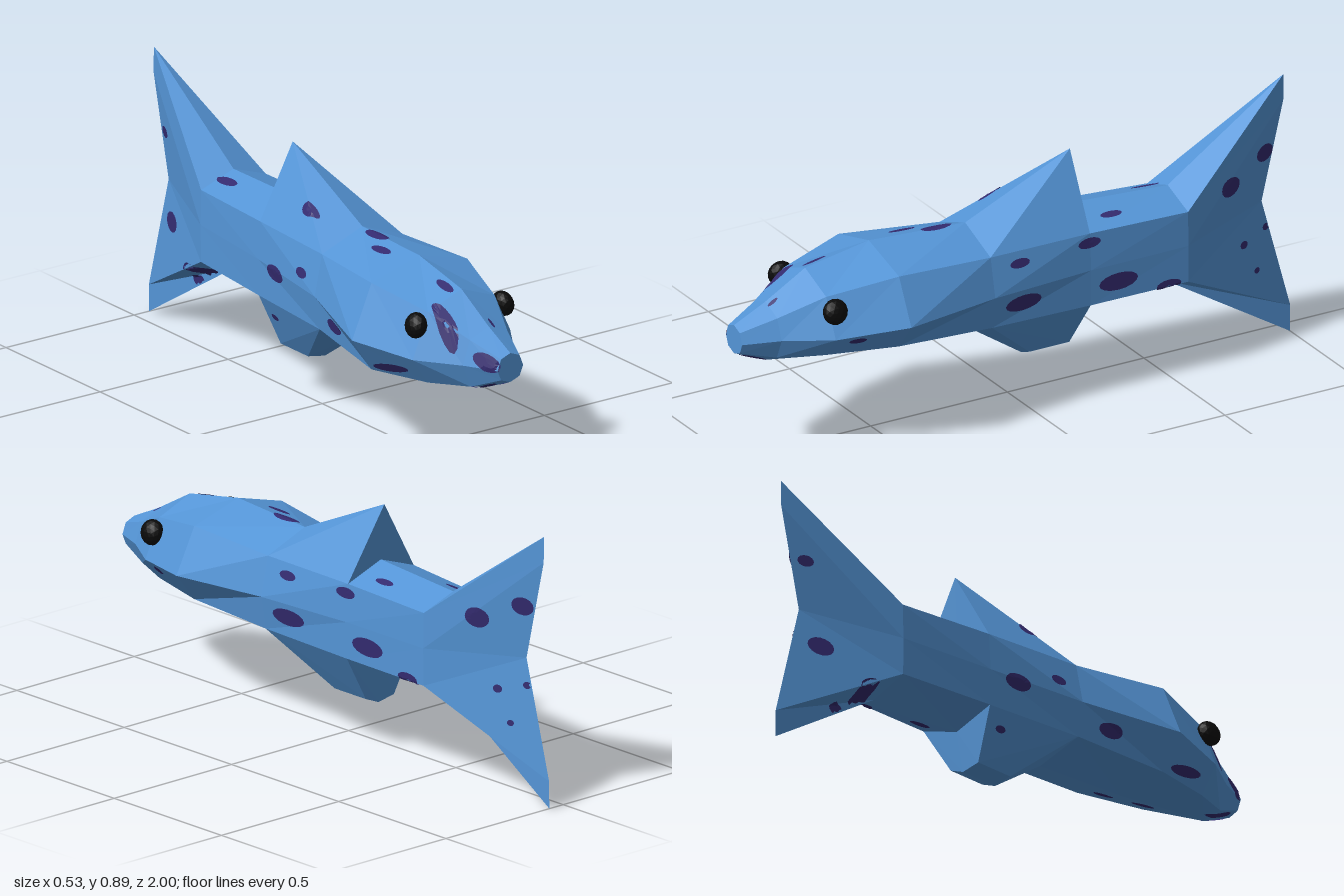
import * as THREE from 'three';
import { ConvexGeometry } from 'three/addons/geometries/ConvexGeometry.js';

const vec = (x, y, z) => new THREE.Vector3(x, y, z);

// Eight points clockwise seen from the front, spaced about the spine at x = cx.
// upper, side and lower are [half width, y]; drop lowers the right-hand side.
function ring(z, cx, topY, upper, side, lower, bottomY, drop = 0) {
  const at = ([w, y], s, dy = 0) => vec(cx + s * w, y - dy, z);
  return [
    vec(cx, topY, z), at(upper, 1), at(side, 1), at(lower, 1),
    vec(cx, bottomY, z), at(lower, -1, drop), at(side, -1, drop * 0.6), at(upper, -1),
  ];
}

// Body rings from mouth to tail root
const mouth = ring(1, 0, 0.467, [0.036, 0.453], [0.05, 0.417], [0.036, 0.383], 0.37);
const snout = ring(0.885, 0, 0.522, [0.073, 0.492], [0.1, 0.424], [0.07, 0.355], 0.32, 0.02);
const head = ring(0.74, 0, 0.605, [0.13, 0.555], [0.19, 0.428], [0.13, 0.354], 0.307, 0.035);
const chest = ring(0.51, 0.005, 0.648, [0.187, 0.596], [0.263, 0.448], [0.187, 0.354], 0.284, 0.048);
const middle = ring(0.172, 0.03, 0.64, [0.157, 0.58], [0.186, 0.45], [0.166, 0.34], 0.281, 0.01);
const waist = ring(-0.195, 0.041, 0.625, [0.14, 0.575], [0.148, 0.45], [0.145, 0.328], 0.28);
const root = ring(-0.552, 0.059, 0.611, [0.126, 0.567], [0.128, 0.45], [0.127, 0.326], 0.277);

// The back fin is the waist ring with its top point pulled up
const crest = [vec(0.037, 0.81, -0.207), ...waist.slice(1)];

// Tail edge: thin, forked, slightly slanted
const tail = ring(-0.975, 0.059, 0.895, [0.001, 0.81], [0.001, 0.475], [0.001, 0.09], 0);
for (const j of [2, 6]) tail[j].z = -0.895;
for (const j of [3, 4, 5]) tail[j].z = -1;

function fromTriangles(points) {
  const g = new THREE.BufferGeometry().setFromPoints(points);
  g.computeVertexNormals();
  return g;
}

function loft(rings) {
  const p = [];
  for (let i = 0; i < rings.length - 1; i++) {
    for (let j = 0; j < 8; j++) {
      const k = (j + 1) % 8;
      const a = rings[i][j], b = rings[i][k], c = rings[i + 1][k], d = rings[i + 1][j];
      if (j < 4) p.push(a, b, d, b, c, d);
      else p.push(a, b, c, a, c, d);
    }
  }
  // Mouth cap
  for (let j = 1; j < 7; j++) p.push(rings[0][0], rings[0][j + 1], rings[0][j]);
  return fromTriangles(p);
}

// Spots by the side they are painted from: the viewing ray, the height-to-width
// ratio on the body and on the tail, and a list of [u, v, radius]
const sideSpots = {
  left: {
    dir: vec(-1, 0, 0), at: (z, y) => vec(2, y, z), ratio: 0.42, tailRatio: 0.82,
    list: [
      [0.07, 0.54, 0.036], [-0.19, 0.545, 0.042], [0.06, 0.405, 0.068], [-0.295, 0.39, 0.071],
      [-0.48, 0.333, 0.045], [0.665, 0.415, 0.028], [-0.74, 0.587, 0.041], [-0.895, 0.65, 0.037],
      [-0.805, 0.36, 0.016], [-0.857, 0.257, 0.012], [-0.905, 0.387, 0.014],
    ],
  },
  right: {
    dir: vec(1, 0, 0), at: (z, y) => vec(-2, y, z), ratio: 0.55, tailRatio: 0.7,
    list: [
      [-0.085, 0.437, 0.05], [0.08, 0.493, 0.03], [0.29, 0.38, 0.045], [-0.65, 0.25, 0.05],
      [-0.83, 0.357, 0.045], [-0.73, 0.185, 0.03], [-0.885, 0.64, 0.027], [-0.13, 0.27, 0.02],
    ],
  },
  top: {
    dir: vec(0, -1, 0), at: (x, z) => vec(x, 2, z), ratio: 3, tailRatio: 3,
    list: [
      [0, -0.505, 0.017], [0.125, -0.305, 0.013], [-0.06, 0.025, 0.014], [0.017, 0.27, 0.019],
      [-0.037, 0.365, 0.016], [-0.027, 0.69, 0.014], [-0.1, 0.79, 0.022], [0.02, 0.87, 0.006],
    ],
  },
  front: {
    dir: vec(0, 0, -1), at: (x, y) => vec(x, y, 2), ratio: 1.4, tailRatio: 1.4,
    list: [[-0.06, 0.435, 0.02], [-0.18, 0.343, 0.015], [-0.037, 0.343, 0.016], [0.017, 0.353, 0.014]],
  },
  bottom: {
    dir: vec(0, 1, 0), at: (x, z) => vec(x, -2, z), ratio: 1.8, tailRatio: 1.8,
    list: [[0.045, 0.655, 0.025], [0.078, 0.51, 0.022], [0.12, -0.28, 0.022]],
  },
};

// Drapes a thin ellipse over the skin
function spotGeometry(skin, { dir, at, ratio, tailRatio }, [u, v, radius]) {
  const height = radius * (u < -0.6 ? tailRatio : ratio);
  const ray = new THREE.Raycaster();
  const drape = (r, angle) => {
    ray.set(at(u + Math.cos(angle) * radius * r, v + Math.sin(angle) * height * r), dir);
    const hit = ray.intersectObjects(skin)[0];
    return hit && hit.point.addScaledVector(hit.face.normal, 0.003);
  };
  const p = [], n = 16;
  const add = (a, b, c) => {
    if (!a || !b || !c) return;
    const normal = b.clone().sub(a).cross(c.clone().sub(a));
    if (normal.dot(dir) < 0) p.push(a, b, c);
    else p.push(a, c, b);
  };
  for (let i = 0; i < n; i++) {
    const t0 = (i / n) * Math.PI * 2, t1 = ((i + 1) / n) * Math.PI * 2;
    const a = drape(0.5, t0), b = drape(0.5, t1), c = drape(1, t1);
    add(drape(0, 0), a, b);
    add(a, drape(1, t0), c);
    add(a, c, b);
  }
  return fromTriangles(p);
}

export function createModel() {
  const group = new THREE.Group();
  group.name = 'fish';
  const blue = new THREE.MeshStandardMaterial({ color: 0x5596d8, flatShading: true });
  blue.name = 'skin blue';
  const purple = new THREE.MeshStandardMaterial({ color: 0x342b70, side: THREE.DoubleSide });
  purple.name = 'spot purple';
  const black = new THREE.MeshStandardMaterial({ color: 0x0a0a0a, flatShading: true });
  black.name = 'eye black';

  const add = (name, geometry, material) => {
    const mesh = new THREE.Mesh(geometry, material);
    mesh.name = name;
    group.add(mesh);
    return mesh;
  };

  // Body with back fin and tail fin
  const body = add('body', loft([mouth, snout, head, chest, middle, crest, waist, root, tail]), blue);

  // Belly fin, hanging from the lower edges of two rings
  const keel = [-0.03, -0.175].flatMap((z) => [vec(-0.033, 0.157, z), vec(0.033, 0.145, z), vec(0.087, 0.167, z)]);
  const finRoots = [middle, waist].flatMap((r) => r.slice(3, 6));
  const bellyFin = add('bellyFin', new ConvexGeometry([...keel, ...finRoots]), blue);

  // Eyes
  for (const side of [1, -1]) {
    const eye = add(side > 0 ? 'leftEye' : 'rightEye', new THREE.IcosahedronGeometry(0.042, 2), black);
    eye.scale.x = 0.75;
    eye.rotation.z = side * 0.25;
    eye.position.set(side * 0.17, 0.517, 0.73);
  }

  // Spots
  for (const [side, paint] of Object.entries(sideSpots)) {
    for (const spot of paint.list) add(side + 'Spot', spotGeometry([body, bellyFin], paint, spot), purple);
  }
  return group;
}
